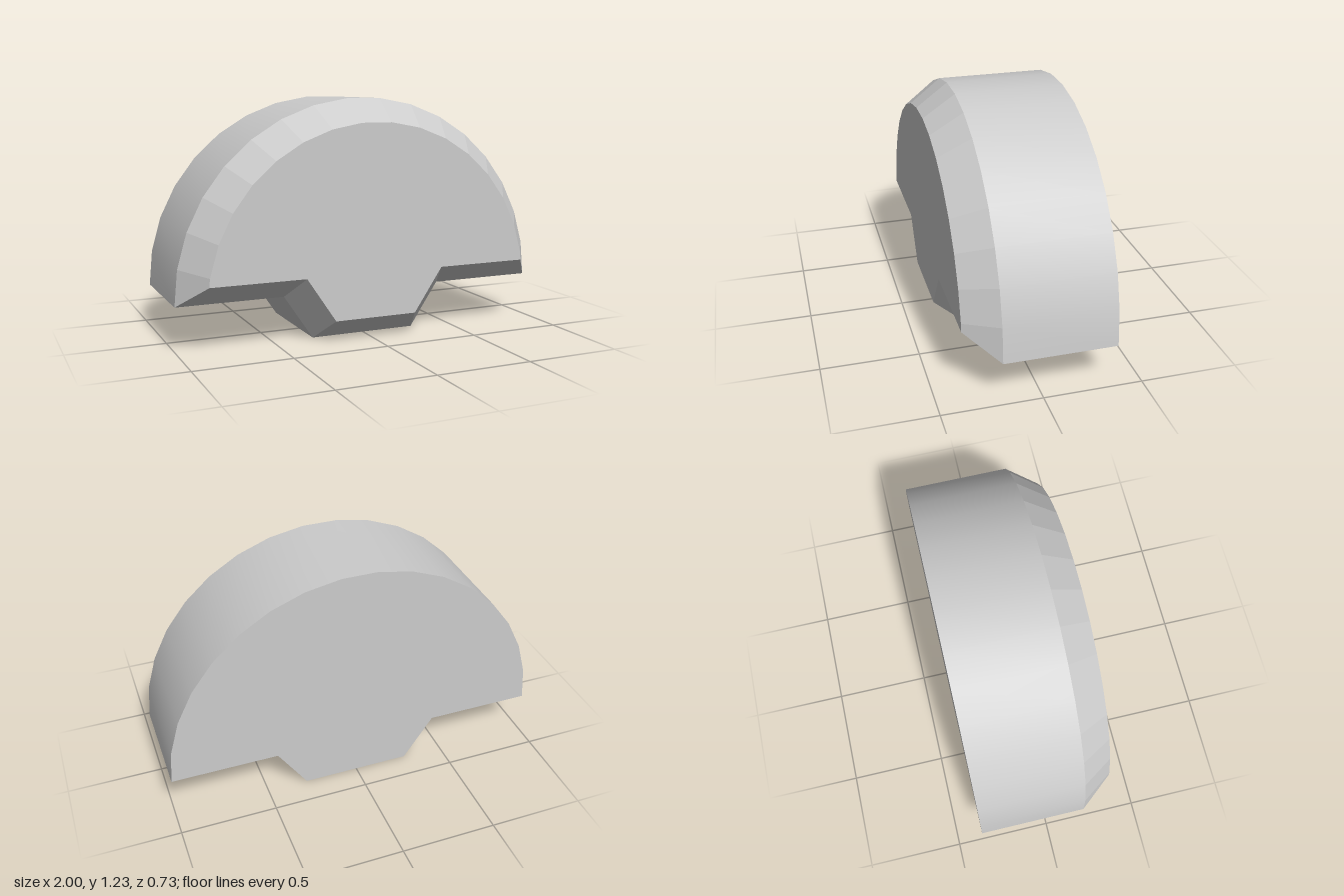
import * as THREE from 'three';
import { toCreasedNormals } from 'three/addons/utils/BufferGeometryUtils.js';

const BACK = -0.365, RIM = 0.2, FRONT = 0.365, INSET = 0.118;

// Counter-clockwise outline: half-round top, then the tapered foot below
function outline() {
  const points = [];
  for (let i = 0; i <= 17; i++) {
    const a = (Math.PI * i) / 17;
    points.push(new THREE.Vector2(Math.cos(a), 0.23 + Math.sin(a)));
  }
  for (const [x, y] of [[-0.44, 0.23], [-0.285, 0], [0.285, 0], [0.44, 0.23]]) points.push(new THREE.Vector2(x, y));
  return points;
}

// Moves every edge inwards by d, with mitred corners
function inset(points, d) {
  const n = points.length;
  const normal = (a, b) => new THREE.Vector2(a.y - b.y, b.x - a.x).normalize();
  return points.map((p, i) => {
    const n1 = normal(points[(i + n - 1) % n], p);
    const n2 = normal(p, points[(i + 1) % n]);
    return n1.clone().add(n2).multiplyScalar(d / (1 + n1.dot(n2))).add(p);
  });
}

// Band of quads joining two loops at different depths
function band(loopA, zA, loopB, zB) {
  const pos = [];
  loopA.forEach((a, i) => {
    const j = (i + 1) % loopA.length;
    const b = loopA[j], c = loopB[j], d = loopB[i];
    pos.push(a.x, a.y, zA, b.x, b.y, zA, c.x, c.y, zB);
    pos.push(a.x, a.y, zA, c.x, c.y, zB, d.x, d.y, zB);
  });
  const geometry = new THREE.BufferGeometry();
  geometry.setAttribute('position', new THREE.Float32BufferAttribute(pos, 3));
  geometry.computeVertexNormals();
  return geometry;
}

export function createModel() {
  const group = new THREE.Group();
  group.name = 'halfRoundBlock';
  const material = new THREE.MeshStandardMaterial({ color: 0xcccccc });
  const add = (name, geometry) => {
    const mesh = new THREE.Mesh(geometry, material);
    mesh.name = name;
    group.add(mesh);
  };

  const outer = outline();
  const inner = inset(outer, INSET);

  // Side wall: smooth around the arc, sharp at the foot
  add('sideWall', toCreasedNormals(band(outer, BACK, outer, RIM), Math.PI / 9));
  // Faceted chamfer around the front
  add('frontChamfer', band(outer, RIM, inner, FRONT));
  // Flat faces
  add('frontFace', new THREE.ShapeGeometry(new THREE.Shape(inner)).translate(0, 0, FRONT));
  add('backFace', new THREE.ShapeGeometry(new THREE.Shape(outer)).rotateY(Math.PI).translate(0, 0, BACK));

  return group;
}
